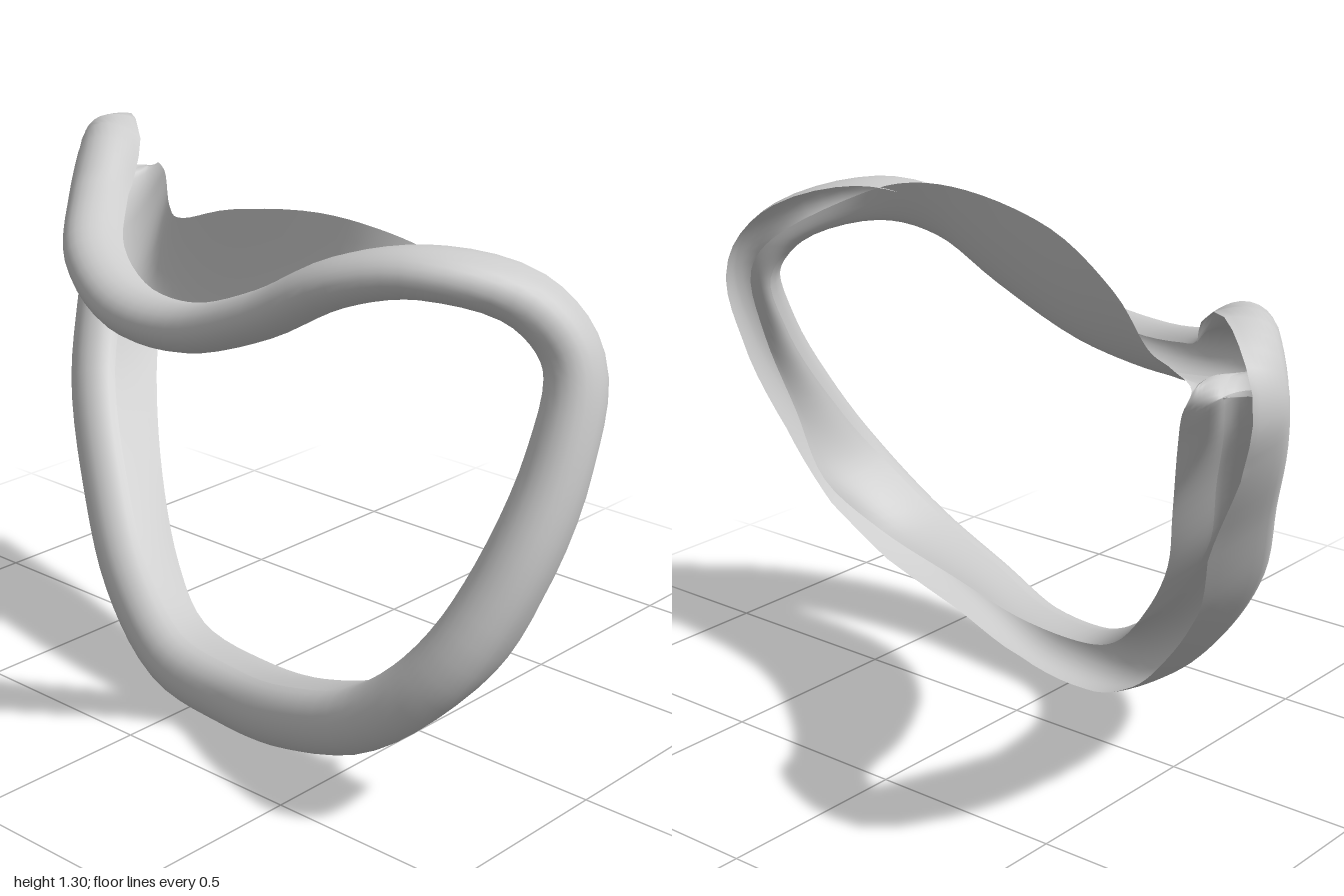
import * as THREE from 'three';

// Stations around the loop: rim centre x, y, z, then flange edge x, y, z
const STATIONS = [
  [-0.925, 1.14, -0.355, -0.78, 1.08, -0.4],
  [-0.84, 1.222, -0.265, -0.81, 1.14, -0.41],
  [-0.68, 1.12, -0.06, -0.71, 1.15, -0.34],
  [-0.5, 1.04, 0.12, -0.52, 1.12, -0.17],
  [-0.25, 0.985, 0.24, -0.27, 1.17, 0.03],
  [0, 1.0, 0.28, 0, 1.26, 0.13],
  [0.25, 1.09, 0.29, 0.3, 1.31, 0.155],
  [0.45, 1.2, 0.26, 0.5, 1.3, 0.15],
  [0.62, 1.238, 0.18, 0.62, 1.26, 0.11],
  [0.8, 1.175, 0.03, 0.8, 1.14, -0.04],
  [0.895, 1.05, -0.015, 0.86, 1.05, -0.06],
  [0.923, 0.85, 0.063, 0.89, 0.85, 0.01],
  [0.9, 0.6, 0.21, 0.86, 0.62, 0.09],
  [0.82, 0.4, 0.325, 0.79, 0.43, 0.12],
  [0.65, 0.24, 0.378, 0.66, 0.29, 0.2],
  [0.4, 0.145, 0.355, 0.41, 0.2, 0.23],
  [0.15, 0.09, 0.29, 0.16, 0.16, 0.2],
  [-0.1, 0.1, 0.25, -0.08, 0.17, 0.16],
  [-0.32, 0.22, 0.175, -0.26, 0.25, 0.07],
  [-0.52, 0.4, 0.06, -0.44, 0.42, -0.05],
  [-0.7, 0.62, -0.07, -0.61, 0.63, -0.2],
  [-0.82, 0.85, -0.22, -0.705, 0.82, -0.32],
  [-0.905, 1.03, -0.32, -0.75, 1.0, -0.37],
];
// Depth of the rim's outer wall behind its centre, per station
const WALL = [0.08, 0.075, 0.07, 0.07, 0.065, 0.065, 0.07, 0.06, 0.07, 0.06, 0.05, 0.06,
  0.09, 0.14, 0.14, 0.1, 0.07, 0.09, 0.14, 0.17, 0.18, 0.17, 0.11];
const COUNT = STATIONS.length;
const RINGS = COUNT * 5;
const DEPTH = 0.076;

const loop = (k) => new THREE.CatmullRomCurve3(
  STATIONS.map((s) => new THREE.Vector3(s[k], s[k + 1], s[k + 2])), true);

// Sweep around the loop; section(t) returns one row of points
function sweep(name, section) {
  const pos = [], idx = [];
  let n = 0;
  for (let i = 0; i < RINGS; i++) {
    const row = section(i / RINGS);
    n = row.length;
    row.forEach((p) => pos.push(p.x, p.y, p.z));
  }
  for (let i = 0; i < RINGS; i++) {
    const next = (i + 1) % RINGS;
    for (let j = 0; j < n - 1; j++) {
      const a = i * n + j, d = next * n + j;
      idx.push(a, a + 1, d, a + 1, d + 1, d);
    }
  }
  const geo = new THREE.BufferGeometry();
  geo.setAttribute('position', new THREE.Float32BufferAttribute(pos, 3));
  geo.setIndex(idx);
  geo.computeVertexNormals();
  const mesh = new THREE.Mesh(geo, new THREE.MeshStandardMaterial({ color: 0xcccccc, side: THREE.DoubleSide }));
  mesh.name = name;
  return mesh;
}

export function createModel() {
  const rim = loop(0), edge = loop(3);

  // Local section axes: at(b, o) is b behind and o outside the rim centre
  const frame = (t) => {
    const c = rim.getPoint(t), T = rim.getTangent(t);
    const back = new THREE.Vector3(0, 0, -1).addScaledVector(T, T.z).normalize();
    const out = T.clone().cross(back);
    const at = (b, o) => c.clone().addScaledVector(back, b).addScaledVector(out, o);
    // slimmer along the brow
    const slim = THREE.MathUtils.smoothstep(t, 0.06, 0.14) * (1 - THREE.MathUtils.smoothstep(t, 0.36, 0.52));
    return { c, back, at, width: 0.076 - 0.018 * slim };
  };

  // Rim: outer wall, then rounded front, open towards the back
  const rimSection = (t) => {
    const { at, width } = frame(t);
    const i = Math.floor(t * COUNT);
    const wall = THREE.MathUtils.lerp(WALL[i], WALL[(i + 1) % COUNT], t * COUNT - i);
    const outer = new THREE.QuadraticBezierCurve3(at(wall, width * 0.75), at(wall * 0.5, width), at(0, width));
    const front = Array.from({ length: 12 }, (_, j) => {
      const a = ((j + 1) / 12) * Math.PI;
      return at(-DEPTH * Math.sin(a), width * Math.cos(a));
    });
    return [...outer.getPoints(5), ...front];
  };

  // Flange: runs back from the rim's inner side and flares to its free edge
  const flangeSection = (t) => {
    const { c, back, at, width } = frame(t);
    const end = edge.getPoint(t);
    const reach = Math.max(0.02, 0.6 * end.clone().sub(c).dot(back));
    return new THREE.QuadraticBezierCurve3(at(0, -width), at(reach, -width), end).getPoints(9);
  };

  const group = new THREE.Group();
  group.name = 'contouredFrame';
  group.add(sweep('rim', rimSection));
  group.add(sweep('flange', flangeSection));
  return group;
}
